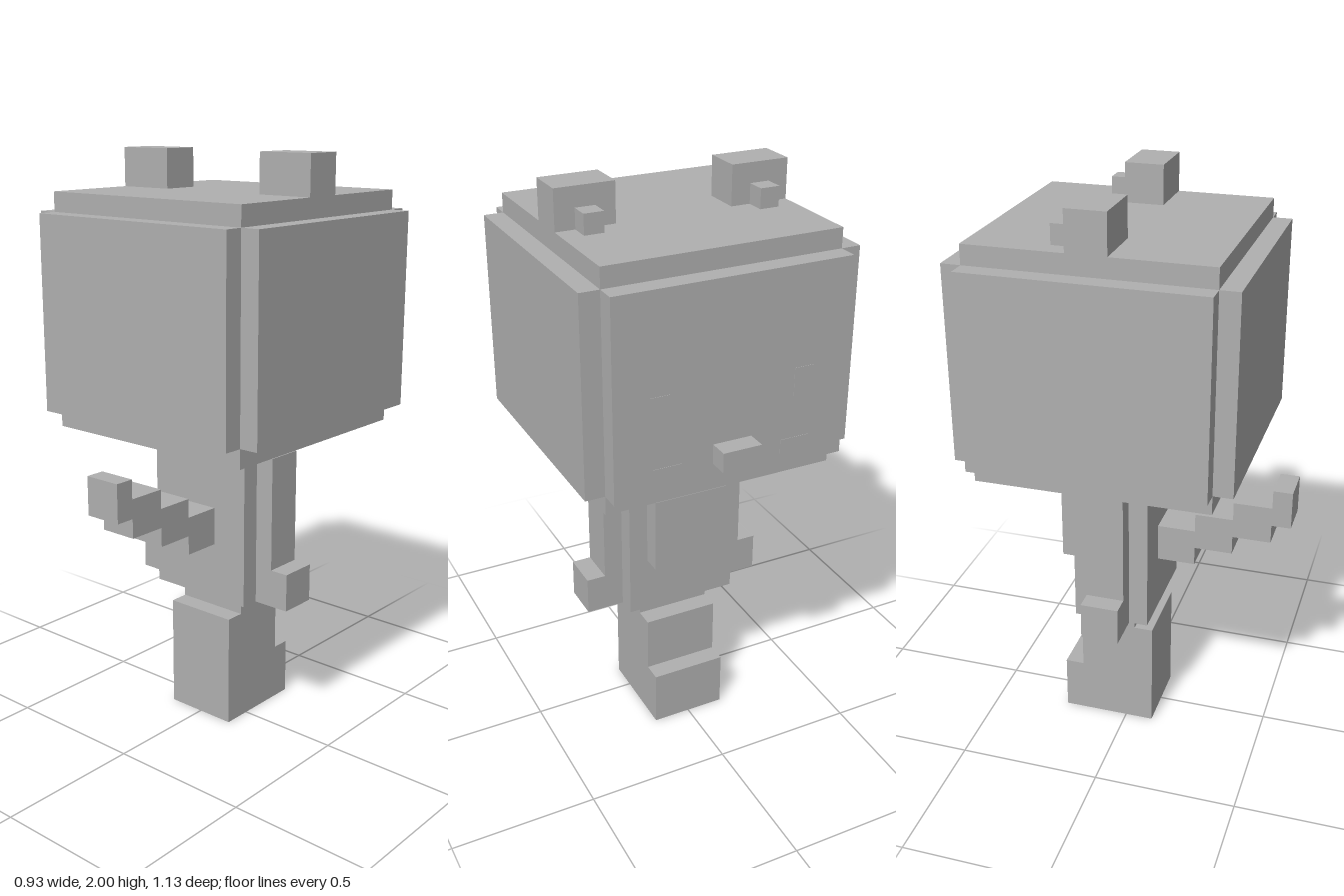
import * as THREE from 'three';

export function createModel() {
  const model = new THREE.Group();
  model.name = 'blockAnimal';
  const U = 1 / 15; // one block
  const grey = new THREE.MeshStandardMaterial({ color: 0xb0b0b0 });
  grey.name = 'grey';

  // Box from its limits, in blocks
  function block(name, [x0, x1], [y0, y1], [z0, z1], parent = model) {
    const geo = new THREE.BoxGeometry((x1 - x0) * U, (y1 - y0) * U, (z1 - z0) * U);
    const mesh = new THREE.Mesh(geo, grey);
    mesh.position.set((x0 + x1) / 2 * U, (y0 + y1) / 2 * U, (z0 + z1) / 2 * U);
    mesh.name = name;
    parent.add(mesh);
    return mesh;
  }

  // The same box on both sides of x = 0
  function pair(name, [x0, x1], y, z, parent = model) {
    block(name + 'Left', [x0, x1], y, z, parent);
    block(name + 'Right', [-x1, -x0], y, z, parent);
  }

  // Head: core with a raised slab on each of the four sides
  const head = new THREE.Group();
  head.name = 'head';
  model.add(head);
  block('headCore', [-6, 6], [16, 28], [-6.5, 5.5], head);
  block('facePlate', [-6, 6], [17, 27], [-7.5, -6.5], head);
  block('headRearPlate', [-6, 6], [17, 27], [5.5, 6.5], head);
  pair('headSidePlate', [6, 7], [17, 27], [-6.5, 5.5], head);

  // Ears, each with a small inner block
  pair('ear', [3, 6], [28, 30], [-1.5, 0.5], head);
  pair('innerEar', [4, 5], [28, 29], [-2.5, -1.5], head);

  // Face: nose, and thin flush plates
  const skin = [-7.52, -7.5];
  block('nose', [-1, 1], [18, 19], [-8.5, -7.5], head);
  block('mouth', [-0.5, 0.5], [17.4, 17.9], skin, head);
  pair('cheek', [2.6, 4.1], [17.4, 18.4], skin, head);
  pair('eye', [3.2, 4.2], [20.5, 22], skin, head);

  // Torso
  block('neck', [-1, 1], [15, 16], [-1.5, 0.5]);
  block('torso', [-3, 3], [7, 15], [-2.5, 1.5]);
  block('belly', [-2, 2], [10, 14], [-3.5, -2.5]);
  pair('arm', [3, 4], [7, 15], [-1.5, 0.5]);
  pair('hand', [4, 5], [7, 9], [-1.5, 0.5]);

  // Legs
  block('hips', [-2, 2], [6, 7], [-1.5, 0.5]);
  block('legs', [-2, 2], [0, 6], [-2.5, 1.5]);
  block('feet', [-2, 2], [0, 3], [-3.5, -2.5]);

  // Tail: rising steps, the tip half as long
  const tail = new THREE.Group();
  tail.name = 'tail';
  model.add(tail);
  for (let i = 0; i < 4; i++) {
    const z = 1.5 + 2 * i;
    block('tailStep' + (i + 1), [-1, 1], [10 + i, 12 + i], [z, z + (i < 3 ? 2 : 1)], tail);
  }

  return model;
}
